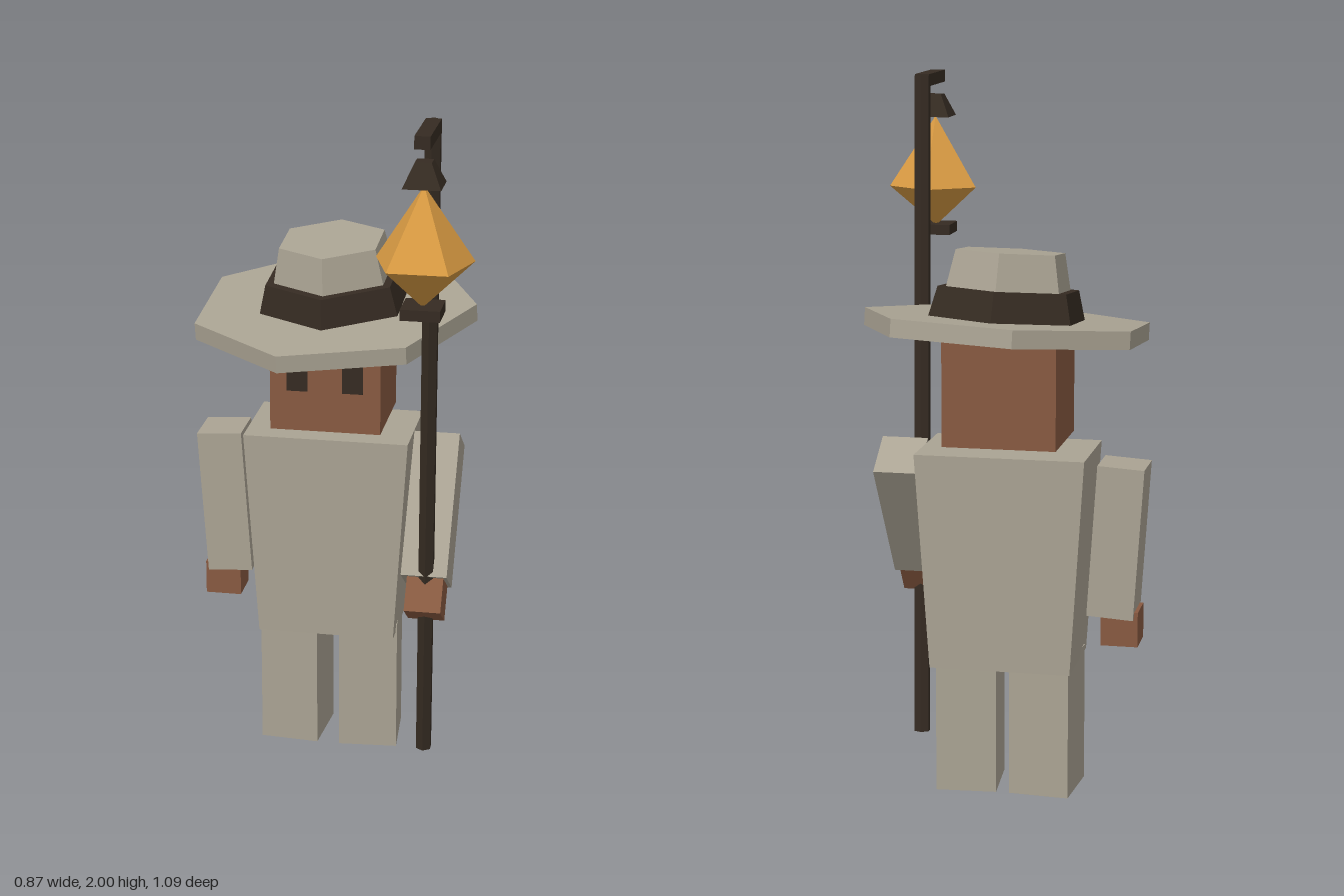
import * as THREE from 'three';

const mat = (name, color) => {
  const m = new THREE.MeshStandardMaterial({ color });
  m.name = name;
  m.flatShading = true;
  return m;
};

export function createModel() {
  const model = new THREE.Group();
  model.name = 'lanternBearer';
  const cloth = mat('cloth', 0xaaa393);
  const skin = mat('skin', 0x885a41);
  const dark = mat('darkWood', 0x352b22);
  const amber = mat('amber', 0xd89a42);

  const add = (name, geo, material, pos, rot = [0, 0, 0], parent = model) => {
    const mesh = new THREE.Mesh(geo, material);
    mesh.name = name;
    mesh.position.set(...pos);
    mesh.rotation.set(...rot);
    parent.add(mesh);
    return mesh;
  };
  const box = (w, h, d) => new THREE.BoxGeometry(w, h, d);
  const prism = (top, bottom, h, sides, open = false) =>
    new THREE.CylinderGeometry(top, bottom, h, sides, 1, open);
  // Square frustum given by its half widths
  const square = (top, bottom, h) =>
    prism(top * Math.SQRT2, bottom * Math.SQRT2, h, 4).rotateY(Math.PI / 4);

  // The body's own centre line
  const cx = -0.04, cz = -0.143;

  // Legs, toes turned slightly outward
  for (const side of [-1, 1]) {
    add(side < 0 ? 'rightLeg' : 'leftLeg', box(0.172, 0.4, 0.192), cloth,
      [cx + side * 0.112, 0.2, cz], [0, side * 0.075, 0]);
  }

  // Torso, narrower at the hem
  const torso = box(0.48, 0.615, 0.295);
  const p = torso.attributes.position;
  for (let i = 0; i < p.count; i++) {
    if (p.getY(i) < 0) p.setXYZ(i, p.getX(i) * 0.835, p.getY(i), p.getZ(i) * 0.94);
  }
  add('torso', torso, cloth, [cx, 0.6825, cz]);

  // Head and eyes
  add('head', box(0.32, 0.315, 0.29), skin, [cx, 1.1725, cz]);
  for (const side of [-1, 1]) {
    add(side < 0 ? 'rightEye' : 'leftEye', box(0.06, 0.08, 0.008), dark,
      [cx + side * 0.08, 1.175, cz + 0.146]);
  }

  // Tilted hat: brim, band and crown
  const hat = new THREE.Group();
  hat.name = 'hat';
  hat.position.set(cx + 0.002, 1.335, cz - 0.003);
  hat.rotation.set(0.092, 0, 0.038);
  model.add(hat);
  add('brim', prism(0.412, 0.412, 0.05, 7).rotateY(Math.PI / 2), cloth, [0, 0, 0], [0, 0, 0], hat);
  add('hatBand', prism(0.207, 0.23, 0.085, 6), dark, [0, 0.065, -0.016], [0, 0, 0], hat);
  add('crown', prism(0.16, 0.188, 0.13, 6), cloth, [0, 0.145, -0.019], [0, 0, 0], hat);

  // Right arm hanging at the side
  add('rightArm', box(0.132, 0.432, 0.142), cloth, [-0.356, 0.745, -0.146], [0, 0, 0.065]);
  add('rightHand', box(0.105, 0.1, 0.11), skin, [-0.367, 0.495, -0.146]);

  // Left arm reaching forward to the staff
  add('leftArm', box(0.132, 0.425, 0.139), cloth, [0.27, 0.783, -0.036], [-0.605, 0, 0]);
  add('leftHand', box(0.105, 0.108, 0.11), skin, [0.273, 0.57, 0.112], [-0.605, 0, 0]);

  // Leaning staff with a short crossbar
  const foot = new THREE.Vector3(0.265, 0.067, 0.062);
  const tip = new THREE.Vector3(0.297, 1.995, 0.257);
  const dir = tip.clone().sub(foot);
  const mid = foot.clone().add(tip).multiplyScalar(0.5);
  const staff = add('staff', prism(0.024, 0.024, dir.length(), 6), dark, mid.toArray());
  staff.quaternion.setFromUnitVectors(new THREE.Vector3(0, 1, 0), dir.normalize());
  add('crossbar', box(0.042, 0.035, 0.205), dark, [0.298, 1.9825, 0.3575]);

  // Lantern: cap, faceted glass and base plate
  const lantern = new THREE.Group();
  lantern.name = 'lantern';
  lantern.position.set(0.3, 0, 0.432);
  model.add(lantern);
  add('lanternCap', square(0.022, 0.051, 0.065), dark, [0, 1.8975, 0], [0, 0, 0], lantern);
  add('glassTop', prism(0, 0.138, 0.207, 5, true), amber, [0, 1.7615, 0], [0, Math.PI, 0], lantern);
  add('glassBottom', prism(0.138, 0, 0.12, 5, true), amber, [0, 1.598, 0], [0, Math.PI, 0], lantern);
  add('lanternBase', square(0.053, 0.053, 0.03), dark, [0, 1.53, 0], [0, 0, 0], lantern);

  return model;
}
